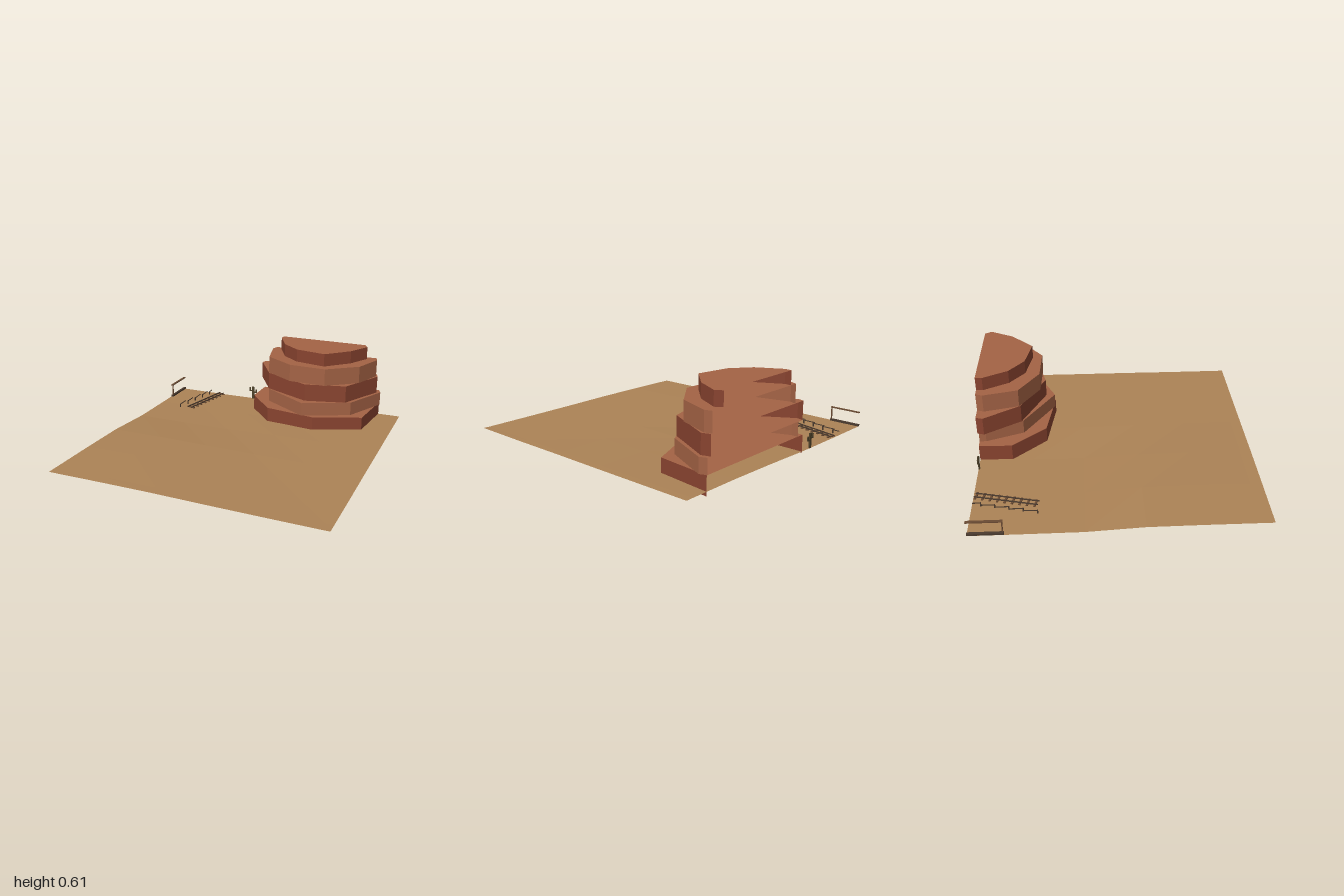
import * as THREE from 'three';

const mat = (name, color, side = THREE.FrontSide) => {
  const m = new THREE.MeshStandardMaterial({ color, side, flatShading: true });
  m.name = name;
  return m;
};

// Non-indexed geometry from a list of quads, each [a, b, c, d] counter-clockwise.
function quads(list) {
  const pos = [];
  for (const [a, b, c, d] of list) pos.push(...a, ...b, ...c, ...a, ...c, ...d);
  const g = new THREE.BufferGeometry();
  g.setAttribute('position', new THREE.Float32BufferAttribute(pos, 3));
  g.computeVertexNormals();
  return g;
}

export function createModel() {
  const root = new THREE.Group();
  root.name = 'desertTile';

  const sand = mat('sand', 0xac8356, THREE.DoubleSide);
  const redRock = mat('redRock', 0x88432f, THREE.DoubleSide);
  const orangeRock = mat('orangeRock', 0xa46345, THREE.DoubleSide);
  const wood = mat('wood', 0x6a4a32);
  const iron = mat('darkIron', 0x4a3a2e);
  const cactusSkin = mat('cactusSkin', 0x4c4029);

  const add = (parent, name, geometry, material, x = 0, y = 0, z = 0) => {
    const m = new THREE.Mesh(geometry, material);
    m.name = name;
    m.position.set(x, y, z);
    parent.add(m);
    return m;
  };
  const box = (parent, name, material, w, h, d, x, y, z) =>
    add(parent, name, new THREE.BoxGeometry(w, h, d), material, x, y, z);
  const group = (name) => {
    const g = new THREE.Group();
    g.name = name;
    root.add(g);
    return g;
  };

  // Faceted ground sheet, sunken toward the back right corner
  const xs = [-1, -0.6, -0.21, 0.18, 0.56, 0.95, 1];
  const zs = [-1, -0.62, -0.24, 0.16, 0.54, 0.92, 1];
  const heights = [
    [0.003, 0.004, 0.008, 0.020, 0.028, 0.030, 0.030],
    [0.004, 0.004, 0.008, 0.020, 0.028, 0.030, 0.030],
    [0.006, 0.006, 0.008, 0.022, 0.028, 0.030, 0.030],
    [0.031, 0.034, 0.030, 0.028, 0.029, 0.031, 0.031],
    [0.034, 0.041, 0.035, 0.030, 0.029, 0.030, 0.030],
    [0.034, 0.037, 0.037, 0.033, 0.031, 0.030, 0.031],
    [0.034, 0.037, 0.038, 0.034, 0.032, 0.031, 0.032],
  ];
  const v = (i, j) => [xs[i], heights[j][i], zs[j]];
  const cells = [];
  for (let j = 0; j < 6; j++)
    for (let i = 0; i < 6; i++)
      cells.push([v(i, j), v(i, j + 1), v(i + 1, j + 1), v(i + 1, j)]);
  add(root, 'ground', quads(cells), sand);

  // Stepped mesa: each layer is an outline [x, z] left open at the back edge
  const mesa = group('mesa');
  const layers = [
    [0, 0.13, [[-0.19, -1], [-0.195, -0.76], [0.02, -0.515], [0.42, -0.455], [0.78, -0.6], [0.825, -1]]],
    [0.13, 0.235, [[-0.13, -1], [-0.13, -0.95], [-0.03, -0.68], [0.33, -0.455], [0.68, -0.62], [0.84, -0.95], [0.82, -1]]],
    [0.235, 0.37, [[-0.18, -1], [-0.195, -0.95], [-0.035, -0.69], [0.33, -0.52], [0.64, -0.6], [0.81, -0.94], [0.79, -1]]],
    [0.37, 0.505, [[-0.08, -1], [-0.1, -0.95], [-0.04, -0.7], [0.19, -0.555], [0.48, -0.545], [0.71, -0.72], [0.795, -0.95], [0.78, -1]]],
    [0.505, 0.605, [[-0.02, -1], [-0.025, -0.95], [0.07, -0.77], [0.21, -0.66], [0.45, -0.615], [0.62, -0.78], [0.71, -0.95], [0.68, -1]]],
  ];
  layers.forEach(([y0, y1, pts], k) => {
    const wall = [];
    for (let i = 0; i + 1 < pts.length; i++) {
      const [ax, az] = pts[i], [bx, bz] = pts[i + 1];
      wall.push([[ax, y0, az], [bx, y0, bz], [bx, y1, bz], [ax, y1, az]]);
    }
    add(mesa, `rockWall${k + 1}`, quads(wall), k % 2 ? orangeRock : redRock);
    const cap = new THREE.ShapeGeometry(
      new THREE.Shape(pts.map(([x, z]) => new THREE.Vector2(x, -z)))).rotateX(-Math.PI / 2);
    add(mesa, `rockTop${k + 1}`, cap, orangeRock, 0, y1, 0);
    if (k > 0) add(mesa, `rockUnderside${k + 1}`, cap, orangeRock, 0, y0, 0);
  });

  // Railway track running to the back edge
  const track = group('railTrack');
  const start = new THREE.Vector2(-0.71, -0.55), end = new THREE.Vector2(-0.607, -0.99);
  const run = end.clone().sub(start);
  const mid = start.clone().add(end).multiplyScalar(0.5);
  track.position.set(mid.x, 0.006, mid.y);
  track.rotation.y = Math.atan2(run.x, run.y);
  const length = run.length();
  for (const s of [-1, 1]) box(track, 'rail', iron, 0.006, 0.008, length, s * 0.019, 0.012, 0);
  for (let i = 0; i < 9; i++)
    box(track, 'sleeper', wood, 0.072, 0.008, 0.014, 0, 0.005, -length / 2 + 0.02 + (i * (length - 0.03)) / 8);

  // Low fence beside the track
  const fence = group('fence');
  for (let i = 0; i < 5; i++) {
    const x = -0.8 + i * 0.023, z = -0.552 - i * 0.097;
    const len = i === 4 ? 0.055 : 0.097;
    box(fence, 'fencePost', iron, 0.008, 0.03, 0.008, x, 0.018, z);
    box(fence, 'fenceRail', iron, 0.004, 0.006, len, x, 0.029, z - len / 2);
  }

  // Open shelter at the corner: post, roof plank and base beam
  const shelter = group('shelter');
  box(shelter, 'shelterPost', wood, 0.008, 0.11, 0.008, -0.986, 0.058, -0.768);
  box(shelter, 'roofPlank', wood, 0.02, 0.007, 0.24, -0.99, 0.112, -0.88);
  box(shelter, 'baseBeam', iron, 0.02, 0.014, 0.24, -0.99, 0.011, -0.88);

  // Cactus at the back edge
  const cactus = group('cactus');
  box(cactus, 'trunk', cactusSkin, 0.02, 0.11, 0.01, -0.3, 0.06, -0.995);
  for (const [s, y] of [[-1, 0.078], [1, 0.065]]) {
    box(cactus, 'armJoint', cactusSkin, 0.026, 0.01, 0.008, -0.3 + s * 0.019, y, -0.996);
    box(cactus, 'armTip', cactusSkin, 0.012, 0.034, 0.008, -0.3 + s * 0.029, y + 0.012, -0.996);
  }
  return root;
}
